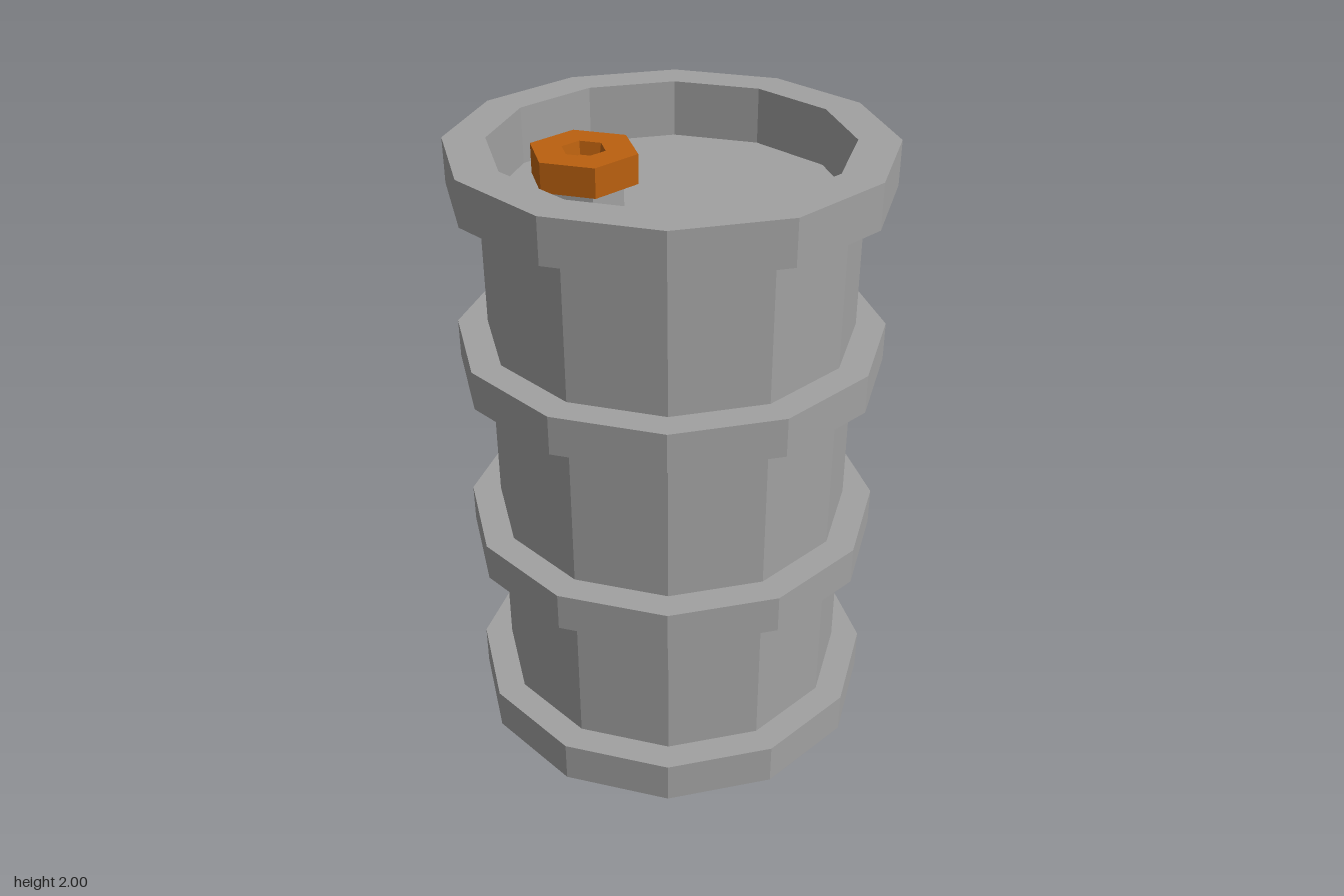
import * as THREE from 'three';

const steel = new THREE.MeshStandardMaterial({ color: 0xa1a1a1, flatShading: true });
const orange = new THREE.MeshStandardMaterial({ color: 0xba600f, flatShading: true });

// Faceted turned part from [radius, y] pairs, listed bottom to top along the outside
function turned(name, profile, sides, phase, material) {
  const points = profile.map(([r, y]) => new THREE.Vector2(r, y));
  const mesh = new THREE.Mesh(new THREE.LatheGeometry(points, sides, phase), material);
  mesh.name = name;
  return mesh;
}

export function createModel() {
  const SIDES = 12, PHASE = Math.PI / 12;
  const BODY = 0.58, HOOP = 0.674, INNER = 0.545, FLOOR = 1.82;
  const barrel = new THREE.Group();
  barrel.name = 'barrel';
  const drum = (name, profile) => barrel.add(turned(name, profile, SIDES, PHASE, steel));

  // Barrel wall, its ends hidden inside the rims
  drum('body', [[BODY, 0.1], [BODY, 1.9]]);

  // Bottom rim with the closed base
  drum('bottomRim', [[0, 0], [HOOP, 0], [HOOP, 0.14], [BODY - 0.01, 0.14]]);

  // Two hoops around the wall
  for (const [name, y0, y1] of [['lowerHoop', 0.64, 0.765], ['upperHoop', 1.275, 1.4]]) {
    drum(name, [[BODY - 0.01, y0], [HOOP, y0], [HOOP, y1], [BODY - 0.01, y1]]);
  }

  // Top rim with the sunken lid
  drum('topRimAndLid', [[BODY - 0.01, 1.86], [HOOP, 1.86], [HOOP, 2], [INNER, 2], [INNER, FLOOR], [0, FLOOR]]);

  // Filler: hexagonal neck and a cap with a hexagonal socket
  const filler = new THREE.Group();
  filler.name = 'filler';
  filler.position.set(-0.262, 0, 0.005);
  filler.add(
    turned('fillerNeck', [[0.12, FLOOR - 0.01], [0.12, 1.92]], 6, 0, steel),
    turned('fillerCap', [[0, 1.905], [0.165, 1.905], [0.165, 1.995], [0.067, 1.995], [0.06, 1.955], [0, 1.955]], 6, 0, orange),
  );
  barrel.add(filler);

  return barrel;
}
